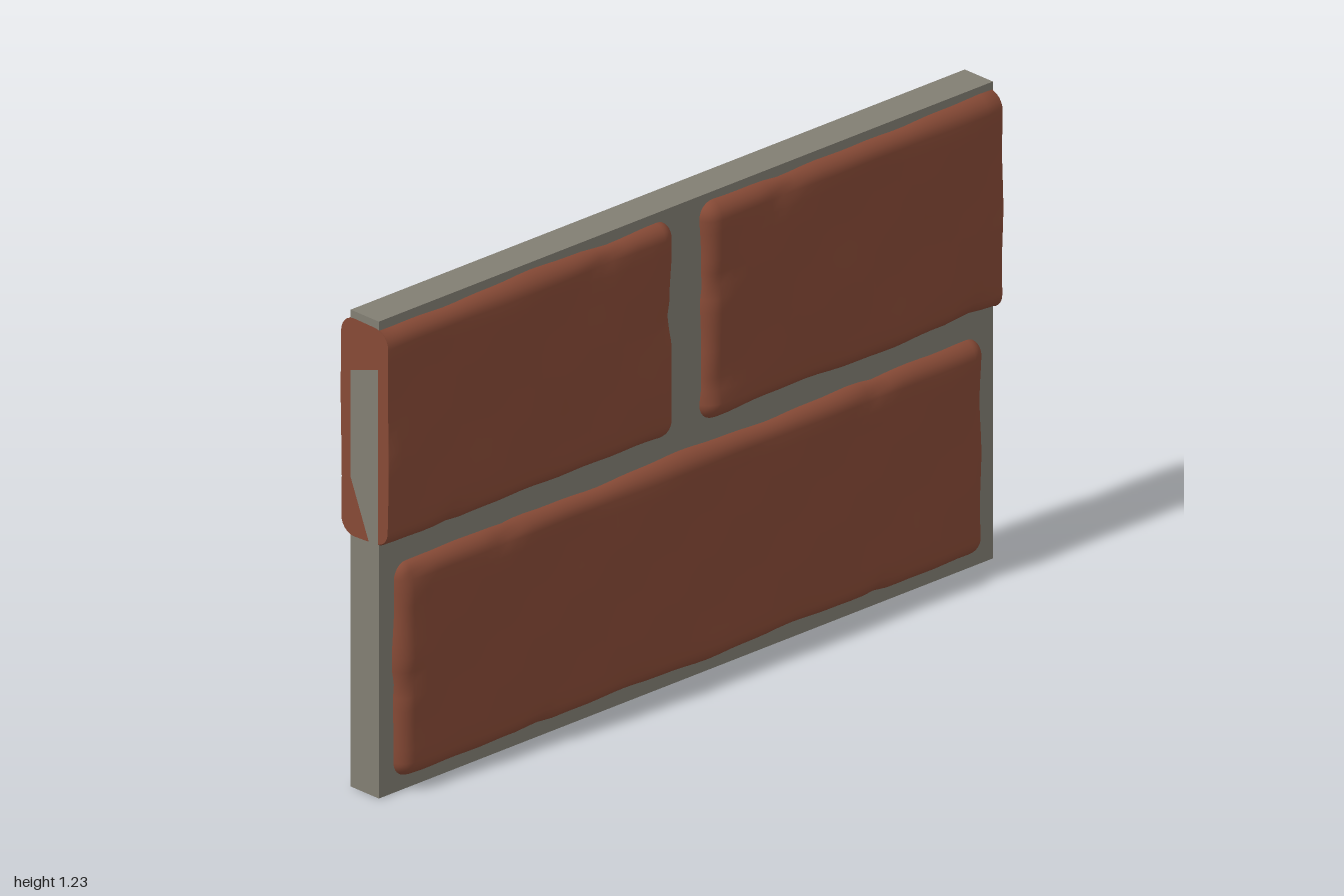
import * as THREE from 'three';
import { toCreasedNormals } from 'three/addons/utils/BufferGeometryUtils.js';

const R = 0.042; // rounding of the brick edges
const EDGE = 3; // grid cells across one rounding

const brickMat = new THREE.MeshStandardMaterial({ color: 0x874a36 });
brickMat.name = 'brick red';
const mortarMat = new THREE.MeshStandardMaterial({ color: 0x827e73 });
mortarMat.name = 'mortar grey';

// Smooth repeatable bumps, about -1 to 1
function bump(x, y, z) {
  return 0.45 * Math.sin(9 * x + 4 * y + 11 * z + 1.3 * Math.sin(7 * y))
    + 0.35 * Math.sin(21 * y - 13 * x + 17 * z + 0.7)
    + 0.2 * Math.sin(34 * x + 27 * y - 23 * z);
}

// Moves even grid lines so that the outermost cells make up the rounding
function spread(v, half, n) {
  const i = Math.round((v / half + 1) / 2 * n);
  const k = Math.min(i, n - i);
  if (k < EDGE) {
    const off = half - R + R * Math.tan((EDGE - k) / EDGE * Math.PI / 4);
    return i < n / 2 ? -off : off;
  }
  return (half - R) * (2 * (i - EDGE) / (n - 2 * EDGE) - 1);
}

// Worn brick between x0..x1 and y0..y1, cut flat where it passes the wall's ends
function makeBrick(name, x0, x1, y0, y1, chips) {
  const half = [(x1 - x0) / 2, (y1 - y0) / 2, 0.08];
  const n = [Math.round((x1 - x0) * 28), 20, 10];
  const cx = (x0 + x1) / 2, cy = (y0 + y1) / 2;
  const geo = new THREE.BoxGeometry(half[0] * 2, half[1] * 2, half[2] * 2, ...n);
  const pos = geo.attributes.position;
  const p = new THREE.Vector3(), core = new THREE.Vector3(), dir = new THREE.Vector3();
  for (let i = 0; i < pos.count; i++) {
    p.fromBufferAttribute(pos, i);
    p.set(spread(p.x, half[0], n[0]), spread(p.y, half[1], n[1]), spread(p.z, half[2], n[2]));
    core.set(...['x', 'y', 'z'].map((a, j) => THREE.MathUtils.clamp(p[a], R - half[j], half[j] - R)));
    dir.subVectors(p, core).normalize();
    p.copy(core).addScaledVector(dir, R);
    p.x += cx;
    p.y += cy;
    // uneven faces, with more wear on the rims
    const rim = 1 - Math.abs(dir.z);
    let push = (0.003 + 0.004 * rim) * bump(p.x, p.y, p.z);
    // small chips near the edges
    for (const [u, v] of chips) {
      const d = ((p.x - u) / 0.035) ** 2 + ((p.y - v) / 0.025) ** 2;
      push -= 0.008 * Math.exp(-d);
    }
    p.addScaledVector(dir, push);
    p.x = THREE.MathUtils.clamp(p.x, -1, 1);
    pos.setXYZ(i, p.x, p.y, p.z);
  }
  // enlarged while normals are made, so close vertices stay apart
  geo.scale(100, 100, 100);
  const smooth = toCreasedNormals(geo, 0.8);
  smooth.scale(0.01, 0.01, 0.01);
  const mesh = new THREE.Mesh(smooth, brickMat);
  mesh.name = name;
  return mesh;
}

export function createModel() {
  const wall = new THREE.Group();
  wall.name = 'brickWall';

  // Mortar slab
  const slab = new THREE.Mesh(new THREE.BoxGeometry(2, 1.23, 0.096), mortarMat);
  slab.name = 'mortarSlab';
  slab.position.y = 0.615;
  // held just inside the cut brick ends
  slab.scale.x = 0.9995;
  wall.add(slab);

  // Lower course: one whole brick; upper course: two cut bricks
  wall.add(
    makeBrick('lowerBrick', -0.955, 0.955, 0.035, 0.59,
      [[-0.92, 0.56], [-0.6, 0.57], [0.6, 0.57], [-0.93, 0.28], [-0.5, 0.05], [0.6, 0.05]]),
    makeBrick('upperRightBrick', -1.08, -0.055, 0.65, 1.208,
      [[-0.28, 1.18], [-0.08, 0.95], [-0.8, 0.67]]),
    makeBrick('upperLeftBrick', 0.045, 1.08, 0.65, 1.208,
      [[0.3, 1.18], [0.07, 1.0], [0.07, 0.74], [0.9, 0.67]]),
  );

  // Bare mortar showing on the cut ends
  const outline = [[-0.047, 1.075], [0.047, 1.105], [0.047, 0.65], [0.018, 0.645], [-0.047, 0.8]];
  const patch = new THREE.ShapeGeometry(new THREE.Shape(outline.map(([u, v]) => new THREE.Vector2(u, v))));
  for (const side of [1, -1]) {
    const end = new THREE.Mesh(patch, mortarMat);
    end.name = side > 0 ? 'leftEndMortar' : 'rightEndMortar';
    end.rotation.y = side * Math.PI / 2;
    end.position.x = side * 1.001;
    wall.add(end);
  }
  return wall;
}
